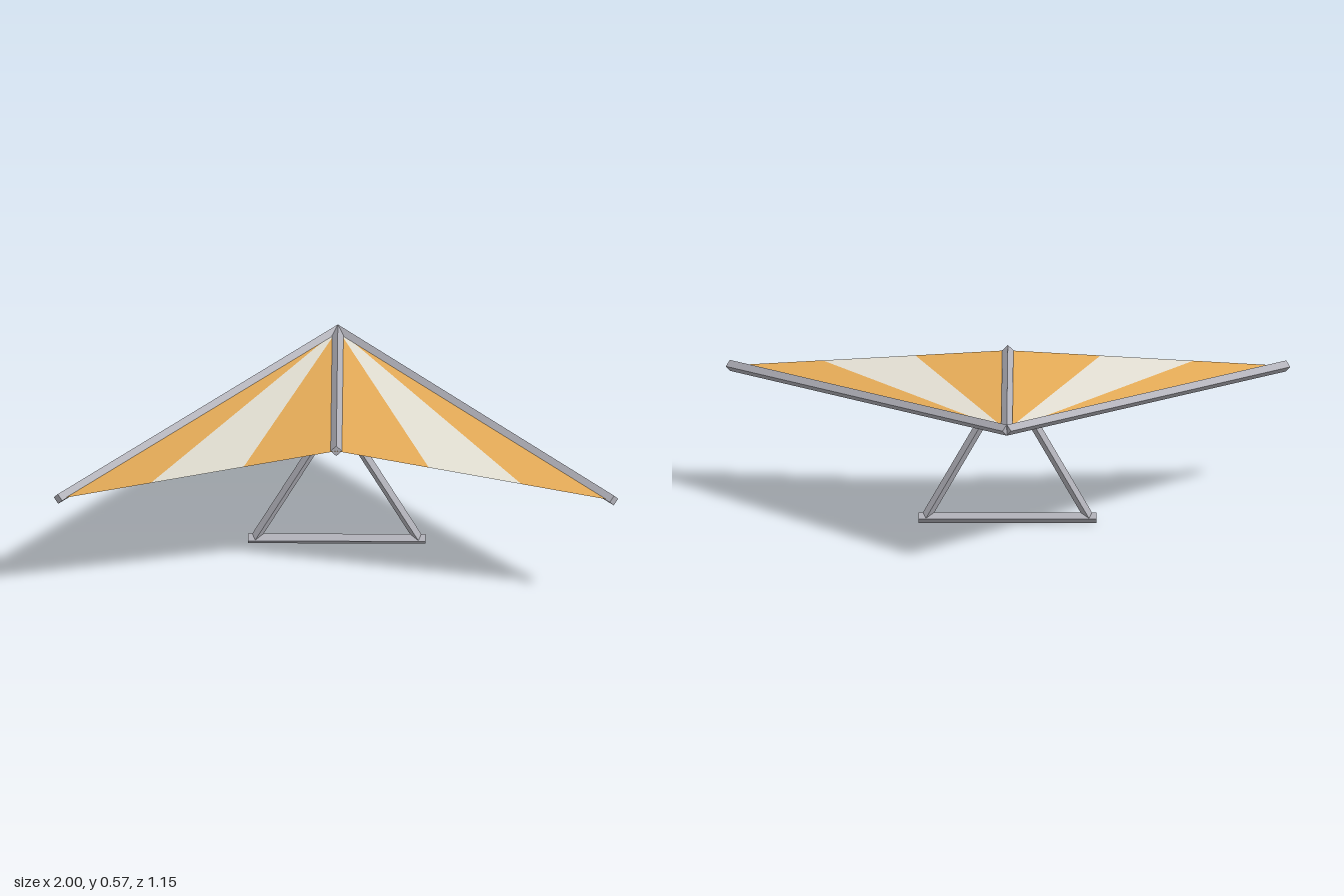
import * as THREE from 'three';

const V = (x, y, z) => new THREE.Vector3(x, y, z);

// Four-sided tube between two points, with one ridge facing upwards
function tube(name, a, b, radius, material) {
  const geometry = new THREE.CylinderGeometry(radius, radius, a.distanceTo(b), 4).toNonIndexed();
  geometry.computeVertexNormals();
  const along = b.clone().sub(a).normalize();
  const side = along.clone().cross(V(0, 1, 0)).normalize();
  const ridge = side.clone().cross(along);
  geometry.applyMatrix4(new THREE.Matrix4().makeBasis(side, along, ridge));
  const mesh = new THREE.Mesh(geometry, material);
  mesh.position.copy(a).add(b).multiplyScalar(0.5);
  mesh.name = name;
  return mesh;
}

// Single flat sail panel
function panel(name, a, b, c, material) {
  const geometry = new THREE.BufferGeometry().setFromPoints([a, b, c]);
  geometry.computeVertexNormals();
  const mesh = new THREE.Mesh(geometry, material);
  mesh.name = name;
  return mesh;
}

export function createModel() {
  const group = new THREE.Group();
  group.name = 'hangGlider';

  const metal = new THREE.MeshStandardMaterial({ color: 0xb2b2ba, flatShading: true });
  metal.name = 'grey metal';
  const orange = new THREE.MeshStandardMaterial({ color: 0xe6ac58, side: THREE.DoubleSide });
  orange.name = 'orange cloth';
  const cream = new THREE.MeshStandardMaterial({ color: 0xe4e0d4, side: THREE.DoubleSide });
  cream.name = 'cream cloth';

  const nose = V(0, 0.515, -0.56);
  const tail = V(0, 0.548, 0.39);
  const apex = V(0, 0.53, 0.075);

  // Keel and base bar
  group.add(tube('keel', nose, tail, 0.02, metal));
  group.add(tube('baseBar', V(-0.315, 0.0195, 0.075), V(0.315, 0.0195, 0.075), 0.0195, metal));

  for (const s of [1, -1]) {
    const label = s > 0 ? 'left' : 'right';
    const tip = V(s * 0.985, 0.445, 0.56);

    // Leading edge and control frame upright
    group.add(tube(label + 'LeadingEdge', nose, tip, 0.02, metal));
    group.add(tube(label + 'Upright', V(s * 0.29, 0.02, 0.075), apex, 0.0175, metal));

    // Three striped panels fanning out from the nose
    for (let i = 0; i < 3; i++) {
      const inner = tail.clone().lerp(tip, i / 3);
      const outer = tail.clone().lerp(tip, (i + 1) / 3);
      const [b, c] = s > 0 ? [inner, outer] : [outer, inner];
      group.add(panel(label + 'SailPanel' + (i + 1), nose, b, c, i === 1 ? cream : orange));
    }
  }
  return group;
}
